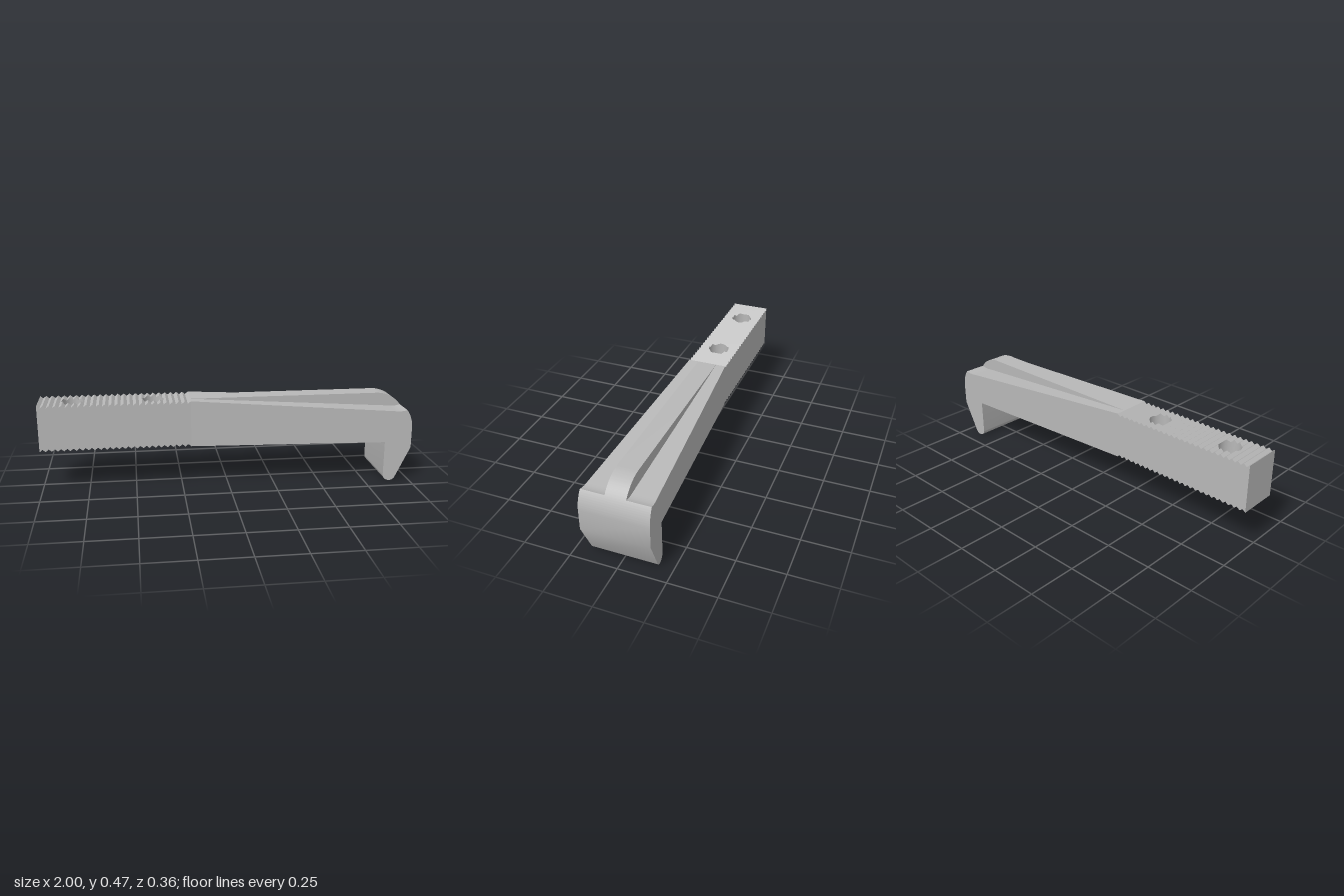
import * as THREE from 'three';
import { toCreasedNormals } from 'three/addons/utils/BufferGeometryUtils.js';

const TOP = 0.472, BOTTOM = 0.222, SEAM = -0.2, BAR_HALF = 0.106;
const ARC = { x: 0.83, y: 0.302, r: 0.17 }; // rounded corner above the hook
const RIDGE = 0.63;                         // angle where the sloped top meets the corner

// Half width of the flared arm at x
const halfWidth = (x) => BAR_HALF + (0.178 - BAR_HALF) * (x - SEAM) / (1 - SEAM);

// Side profile pushed out along z to a half width given by a rule
function extrudeSide(shape, half) {
  const g = new THREE.ExtrudeGeometry(shape, { depth: 2, bevelEnabled: false, curveSegments: 14 });
  g.translate(0, 0, -1);
  const p = g.attributes.position;
  for (let i = 0; i < p.count; i++) p.setZ(i, p.getZ(i) * half(p.getX(i)));
  return toCreasedNormals(g, 0.5);
}

// Sloped shoulder line, dipping and rising again to the hook ridge
function slopeBack(shape) {
  shape.quadraticCurveTo(0.94, 0.392, 0.9, 0.397);
  shape.lineTo(SEAM, TOP);
}

// Flared arm with the hook at its end
function armGeometry() {
  const s = new THREE.Shape();
  s.moveTo(SEAM, BOTTOM);
  s.lineTo(0.855, BOTTOM);
  s.lineTo(0.855, 0.035);
  s.absarc(0.89, 0.035, 0.035, Math.PI, 2 * Math.PI - 0.42, false);
  s.lineTo(1, 0.19);
  s.lineTo(1, ARC.y);
  s.absarc(ARC.x, ARC.y, ARC.r, 0, RIDGE, false);
  slopeBack(s);
  return extrudeSide(s, halfWidth);
}

// Raised rib that keeps the full height along the middle
function ribGeometry() {
  const s = new THREE.Shape();
  s.moveTo(SEAM, TOP - 0.02);
  s.lineTo(0.9, 0.37);
  s.lineTo(ARC.x + ARC.r * Math.cos(RIDGE), ARC.y + ARC.r * Math.sin(RIDGE));
  s.absarc(ARC.x, ARC.y, ARC.r, RIDGE, Math.PI / 2, false);
  s.lineTo(SEAM, TOP);
  return extrudeSide(s, () => 0.053);
}

// Toothed bar with two through holes, built as strips along x
function barGeometry() {
  const teeth = 25, depth = 0.013, r = 0.057, holes = [-0.822, -0.395];
  const pitch = (SEAM + 1) / teeth;
  const notch = (x) => {
    const t = (x + 1) / pitch;
    return depth * 2 * Math.abs(t - Math.round(t));
  };
  const top = (x) => TOP - notch(x), bottom = (x) => BOTTOM + notch(x);
  const inner = (x) => Math.max(0, ...holes.map((c) => {
    const d = r * r - (x - c) ** 2;
    return d > 1e-9 ? Math.sqrt(d) : 0;
  }));

  let xs = [];
  for (let i = 0; i <= teeth * 2; i++) xs.push(-1 + i * pitch / 2);
  for (const c of holes) {
    for (let k = 0; k <= 16; k++) xs.push(c - r * Math.cos(Math.PI * k / 16));
  }
  xs.sort((a, b) => a - b);
  xs = xs.filter((x, i) => i === 0 || x - xs[i - 1] > 1e-6);

  const pos = [];
  const quad = (a, b, c, d) => pos.push(...a, ...b, ...c, ...a, ...c, ...d);
  for (let i = 0; i < xs.length - 1; i++) {
    const a = xs[i], b = xs[i + 1], w = BAR_HALF, ia = inner(a), ib = inner(b);
    for (const s of [1, -1]) {
      const face = (...pts) => {
        const q = pts.map(([x, y, z]) => [x, y, z * s]);
        quad(...(s > 0 ? q : q.reverse()));
      };
      face([a, top(a), ia], [a, top(a), w], [b, top(b), w], [b, top(b), ib]);
      face([b, bottom(b), ib], [b, bottom(b), w], [a, bottom(a), w], [a, bottom(a), ia]);
      face([a, bottom(a), w], [b, bottom(b), w], [b, top(b), w], [a, top(a), w]);
      if (ia > 0 || ib > 0) {
        face([a, top(a), ia], [b, top(b), ib], [b, bottom(b), ib], [a, bottom(a), ia]);
      }
    }
  }
  // End face
  quad([-1, BOTTOM, -BAR_HALF], [-1, BOTTOM, BAR_HALF], [-1, TOP, BAR_HALF], [-1, TOP, -BAR_HALF]);

  const g = new THREE.BufferGeometry();
  g.setAttribute('position', new THREE.Float32BufferAttribute(pos, 3));
  return toCreasedNormals(g, 0.5);
}

export function createModel() {
  const group = new THREE.Group();
  group.name = 'clampJaw';
  const grey = new THREE.MeshStandardMaterial({ color: 0xb8b8b8 });
  grey.name = 'plain grey';
  const parts = { toothedBar: barGeometry(), hookedArm: armGeometry(), centreRib: ribGeometry() };
  for (const [name, geometry] of Object.entries(parts)) {
    const mesh = new THREE.Mesh(geometry, grey);
    mesh.name = name;
    group.add(mesh);
  }
  return group;
}
